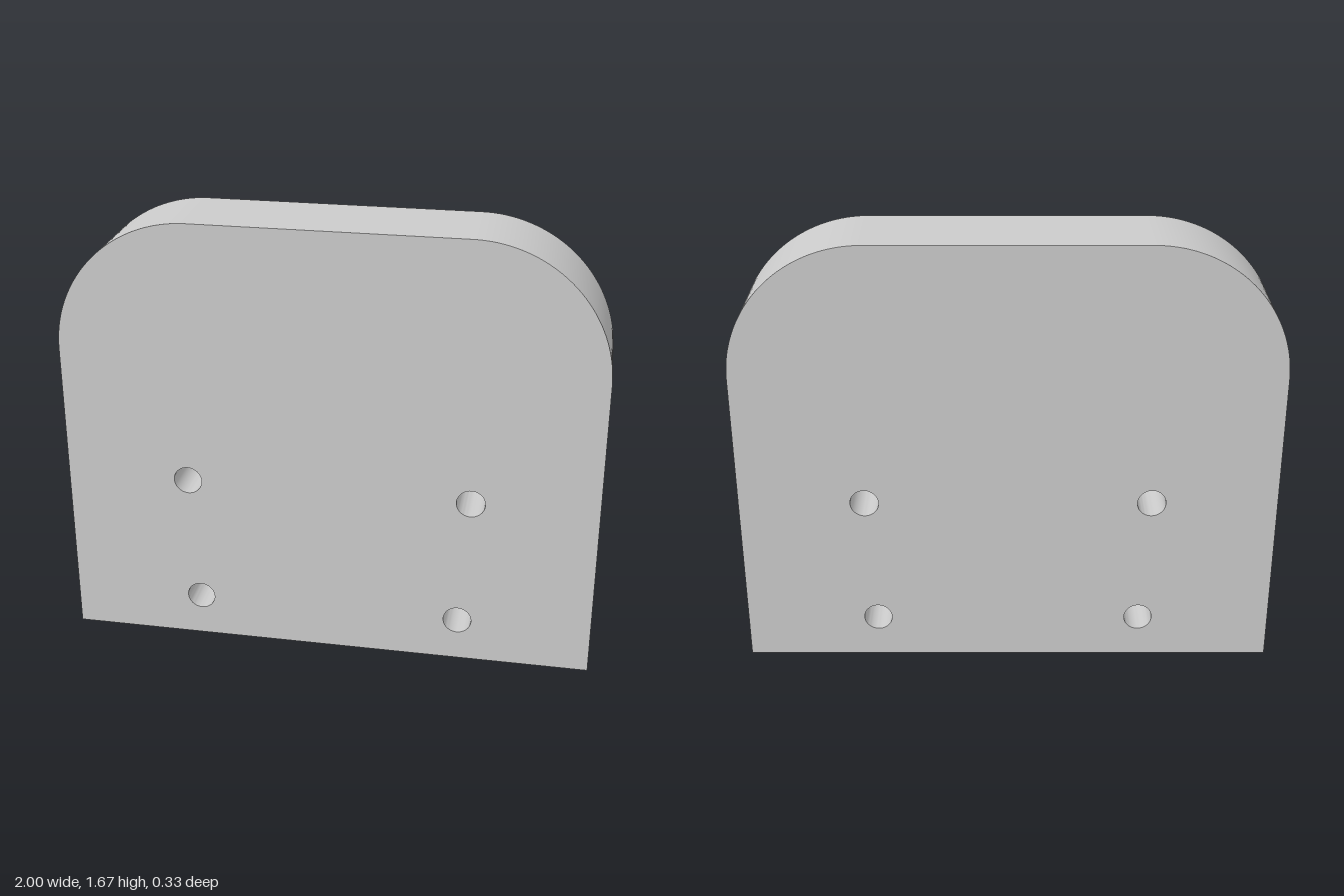
import * as THREE from 'three';
import { toCreasedNormals } from 'three/addons/utils/BufferGeometryUtils.js';

const HALF_WIDTH = 1;
const HEIGHT = 1.667;
const DEPTH = 0.333;
const CORNER = 0.5;
const HOLE_RADIUS = 0.053;

export function createModel() {
  const group = new THREE.Group();
  group.name = 'mountingPlate';

  // Plate outline: square bottom corners, rounded top corners
  const outline = new THREE.Shape();
  outline.moveTo(-HALF_WIDTH, 0);
  outline.lineTo(HALF_WIDTH, 0);
  outline.lineTo(HALF_WIDTH, HEIGHT - CORNER);
  outline.absarc(HALF_WIDTH - CORNER, HEIGHT - CORNER, CORNER, 0, Math.PI / 2, false);
  outline.lineTo(-HALF_WIDTH + CORNER, HEIGHT);
  outline.absarc(-HALF_WIDTH + CORNER, HEIGHT - CORNER, CORNER, Math.PI / 2, Math.PI, false);
  outline.closePath();

  // Two mirrored pairs of through holes, the upper pair slightly wider apart
  for (const [x, y] of [[0.533, 0.667], [0.5, 0.167]]) {
    for (const side of [-1, 1]) {
      const hole = new THREE.Path();
      hole.absarc(side * x, y, HOLE_RADIUS, 0, Math.PI * 2, true);
      outline.holes.push(hole);
    }
  }

  const geometry = new THREE.ExtrudeGeometry(outline, {
    depth: DEPTH,
    bevelEnabled: false,
    curveSegments: 24,
  });
  geometry.translate(0, 0, -DEPTH / 2);

  const plate = new THREE.Mesh(
    toCreasedNormals(geometry, Math.PI / 6),
    new THREE.MeshStandardMaterial({ color: 0xcccccc })
  );
  plate.name = 'plate';
  group.add(plate);
  return group;
}
